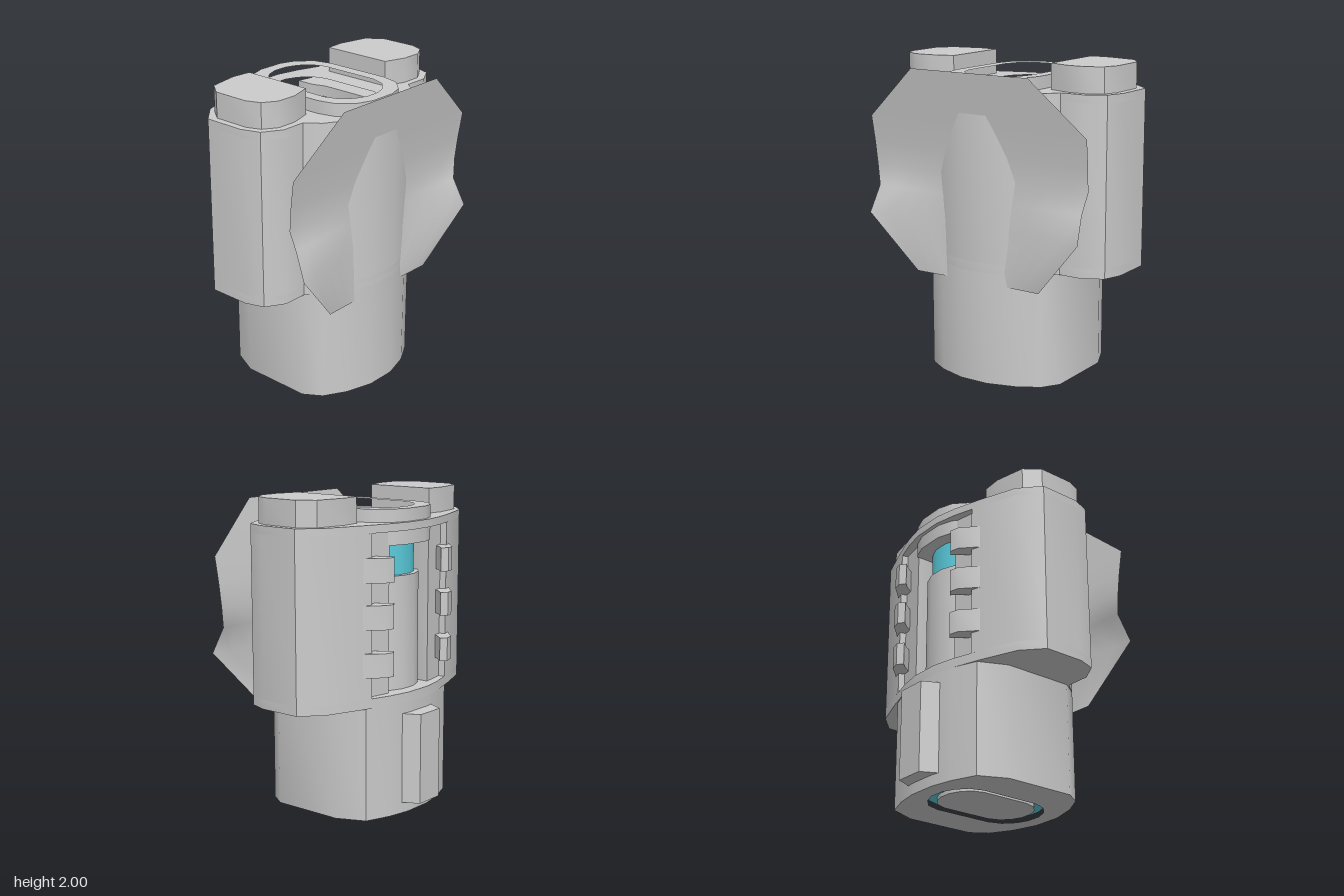
import * as THREE from 'three';
import { toCreasedNormals } from 'three/addons/utils/BufferGeometryUtils.js';

const grey = new THREE.MeshStandardMaterial({ color: 0xcccccc });
const cyan = new THREE.MeshStandardMaterial({ color: 0x5cd0e0 });
const sheet = new THREE.MeshStandardMaterial({ color: 0xcccccc, side: THREE.DoubleSide });

const flip = (pts) => pts.map(([x, z]) => [-x, z]).reverse();
// Closed [x, z] outline from its +x half, listed back to front
const mirror = (half) => [...half, ...flip(half)];
const scaled = (pts, s) => pts.map(([x, z]) => [x * s, (z - 0.02) * s + 0.02]);
const toVec = (pts) => pts.map(([x, z]) => new THREE.Vector2(x, -z));

// Upright prism over an [x, z] outline between two heights
function prism(name, outline, y0, y1, material = grey, hole = null) {
  const shape = new THREE.Shape(toVec(outline));
  if (hole) shape.holes.push(new THREE.Path(toVec(hole)));
  const geo = new THREE.ExtrudeGeometry(shape, { depth: y1 - y0, bevelEnabled: false });
  geo.rotateX(-Math.PI / 2).translate(0, y0, 0);
  const mesh = new THREE.Mesh(toCreasedNormals(geo, 0.6), material);
  mesh.name = name;
  return mesh;
}

// Curved front plate: rows of [y, half width, z in the middle, z at the edge]
function frontPlate() {
  const rows = [
    [1.95, 0.43, 0.555, 0.555], [1.62, 0.8, 0.5, 0.5], [1.45, 0.795, 0.475, 0.475],
    [1.3, 0.79, 0.46, 0.46], [1.17, 0.76, 0.465, 0.48], [1.0, 0.78, 0.47, 0.56],
    [0.64, 0.46, 0.475, 0.48],
  ];
  const n = 12, pos = [], idx = [];
  rows.forEach(([y, w, zMid, zEdge], r) => {
    for (let i = 0; i <= n; i++) {
      const x = w * (2 * i / n - 1);
      const t = Math.max(0, (Math.abs(x) - 0.25) / (w - 0.25));
      pos.push(x, y, zMid + (zEdge - zMid) * t);
      if (r < rows.length - 1 && i < n) {
        const a = r * (n + 1) + i, b = a + n + 1;
        idx.push(a, b, a + 1, a + 1, b, b + 1);
      }
    }
  });
  const geo = new THREE.BufferGeometry();
  geo.setAttribute('position', new THREE.Float32BufferAttribute(pos, 3));
  geo.setIndex(idx);
  geo.computeVertexNormals();
  const mesh = new THREE.Mesh(geo, sheet);
  mesh.name = 'frontPlate';
  return mesh;
}

export function createModel() {
  const group = new THREE.Group();

  // Outlines
  const sides = [
    [0.44, -0.38], [0.68, -0.29], [0.81, -0.17], [0.81, 0.1], [0.77, 0.22], [0.65, 0.29],
    [0.49, 0.29], [0.42, 0.38], [0.28, 0.46], [0.1, 0.513],
  ];
  const bodyOutline = mirror([[0.1, -0.47], [0.25, -0.44], ...sides]);
  const boreHalf = [
    [0.05, -0.36], [0.13, -0.33], [0.2, -0.27], [0.23, -0.18],
    [0.23, 0.22], [0.2, 0.31], [0.13, 0.375], [0.05, 0.405],
  ];
  const bore = mirror(boreHalf);
  const lower = mirror([
    [0.1, -0.47], [0.25, -0.44], [0.41, -0.38], [0.49, -0.2],
    [0.49, 0.27], [0.42, 0.38], [0.28, 0.46], [0.1, 0.513],
  ]);
  const collar = mirror([
    [0.09, -0.445], [0.19, -0.41], [0.28, -0.32], [0.31, -0.2],
    [0.31, 0.24], [0.28, 0.36], [0.19, 0.45], [0.09, 0.485],
  ]);

  // Housing: the middle is open at the back, with a stepped window frame
  const outer = mirror([[0.2, -0.27], [0.2, -0.39], [0.37, -0.36], [0.38, -0.4], ...sides]);
  const inner = mirror(boreHalf.slice(3)).reverse();
  group.add(
    prism('lowerBody', lower, 0, 0.72, grey, bore),
    prism('housingFloor', bodyOutline, 0.72, 0.78),
    prism('housingWall', [...outer, ...inner], 0.78, 1.79),
    prism('housingTop', bodyOutline, 1.79, 1.84, grey, bore),
    prism('collar', collar, 1.7, 1.92, grey, bore),
  );

  // Inner cell, its sleeve and bottom plug
  group.add(
    prism('innerCell', scaled(bore, 0.995), 0.03, 1.72, cyan),
    prism('cellSleeve', scaled(bore, 1.08), 0.74, 1.5),
    prism('bottomPlug', scaled(bore, 0.84), 0.005, 0.06),
  );

  // Raised caps and window clips on both sides
  const cap = [
    [0.365, -0.27], [0.49, -0.28], [0.69, -0.24], [0.765, -0.14], [0.765, 0.1],
    [0.73, 0.19], [0.64, 0.245], [0.51, 0.245], [0.365, 0.2],
  ];
  const clip = [
    [0.45, -0.37], [0.34, -0.475], [0.28, -0.49], [0.24, -0.46], [0.27, -0.43], [0.32, -0.36],
  ];
  for (const [side, place] of [['left', (p) => p], ['right', flip]]) {
    group.add(prism(side + 'Cap', place(cap), 1.84, 2));
    for (const y of [0.915, 1.21, 1.495]) {
      group.add(prism(side + 'Clip', place(clip), y, y + 0.15));
    }
  }

  // Rib on the back of the lower body
  group.add(prism('backRib', mirror([[0.1, -0.565], [0.16, -0.44]]), 0.07, 0.65));
  group.add(frontPlate());
  return group;
}
